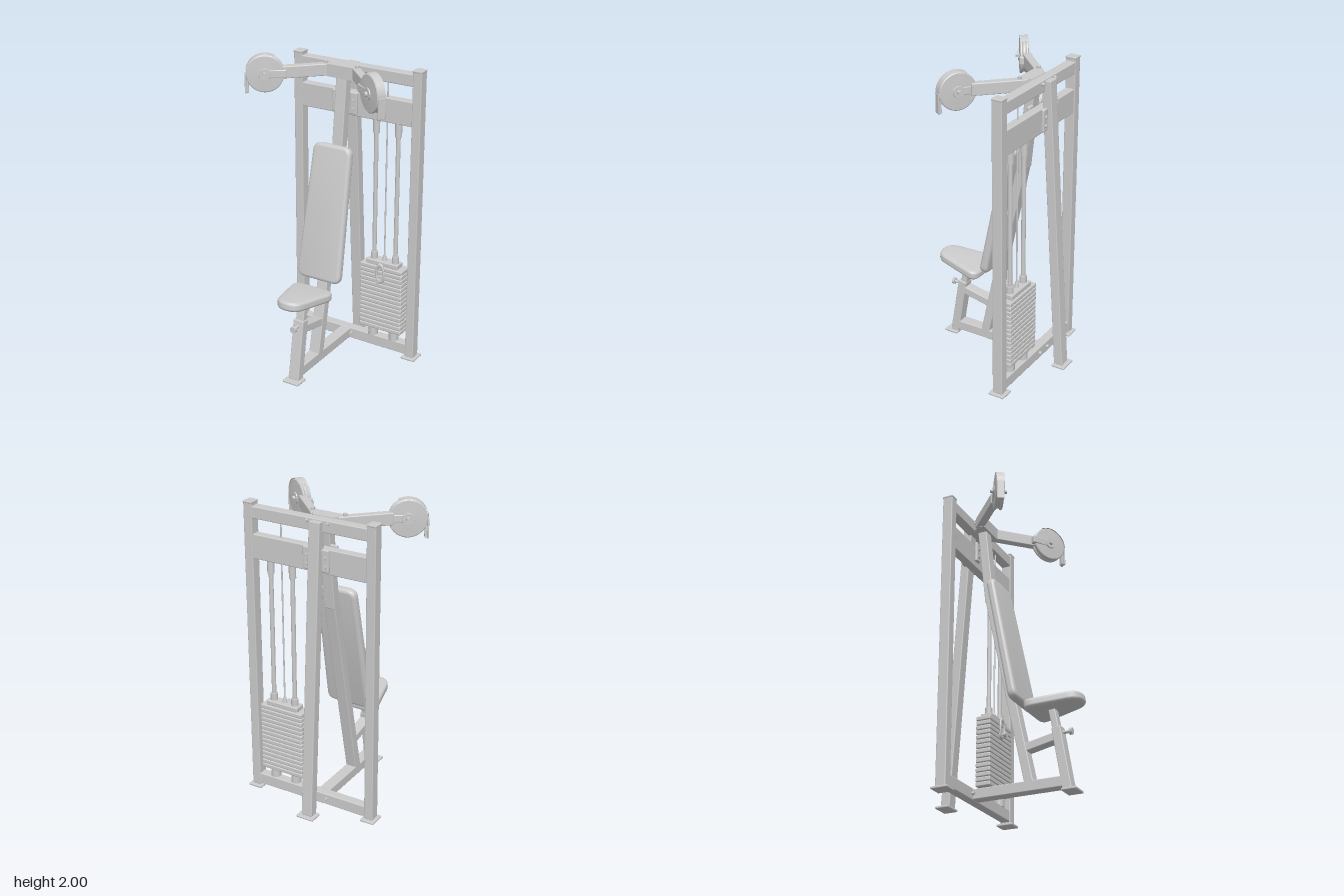
import * as THREE from 'three';
import { RoundedBoxGeometry } from 'three/addons/geometries/RoundedBoxGeometry.js';
import { toCreasedNormals } from 'three/addons/utils/BufferGeometryUtils.js';

const CX = -0.018; // centre line of the seat and spine
const FZ = -0.265; // plane of the main frame

export function createModel() {
  const root = new THREE.Group();
  const mat = new THREE.MeshStandardMaterial({ color: 0xcccccc });
  const sheet = new THREE.MeshStandardMaterial({ color: 0xcccccc, side: THREE.DoubleSide });
  const V = (p) => new THREE.Vector3(...p);

  function add(name, geo, pos = [0, 0, 0], parent = root, material = mat) {
    const m = new THREE.Mesh(geo, material);
    m.name = name;
    m.position.set(...pos);
    parent.add(m);
    return m;
  }
  const box = (name, size, pos, r = 0.006, parent = root) =>
    add(name, new RoundedBoxGeometry(...size, 2, r), pos, parent);

  // Square tube from a to b: w across, h in the upright direction
  function bar(name, a, b, w, h) {
    const p = V(a), q = V(b);
    const m = box(name, [w, h, p.distanceTo(q)], p.clone().add(q).multiplyScalar(0.5).toArray());
    m.lookAt(q);
    return m;
  }
  // Round rod from a to b
  function rod(name, a, b, r, parent = root, r2 = r) {
    const p = V(a), q = V(b), d = q.clone().sub(p);
    const m = add(name, new THREE.CylinderGeometry(r2, r, d.length(), 20),
      p.clone().add(q).multiplyScalar(0.5).toArray(), parent);
    m.quaternion.setFromUnitVectors(new THREE.Vector3(0, 1, 0), d.normalize());
    return m;
  }
  // Polygon with rounded corners
  function roundedShape(points, r) {
    const s = new THREE.Shape(), n = points.length;
    const pts = points.map((p) => new THREE.Vector2(...p));
    pts.forEach((p, i) => {
      const toward = (o) => o.clone().sub(p).setLength(r).add(p);
      const a = toward(pts[(i + n - 1) % n]), b = toward(pts[(i + 1) % n]);
      if (i) s.lineTo(a.x, a.y); else s.moveTo(a.x, a.y);
      s.quadraticCurveTo(p.x, p.y, b.x, b.y);
    });
    s.closePath();
    return s;
  }
  // Upholstered cushion with soft edges
  function pad(name, points, r, thick, bevel, pos, tilt) {
    const geo = new THREE.ExtrudeGeometry(roundedShape(points, r), {
      depth: thick - 2 * bevel, bevelThickness: bevel, bevelSize: bevel,
      bevelOffset: -bevel, bevelSegments: 5, curveSegments: 8,
    });
    geo.translate(0, 0, bevel - thick / 2);
    add(name, toCreasedNormals(geo, 0.7), pos).rotation.x = tilt;
  }

  // Main frame: uprights, feet and cross beams
  for (const x of [-0.372, 0.465]) {
    box('upright', [0.06, 1.925, 0.068], [x, 0.9775, FZ]);
    box('uprightCap', [0.064, 0.012, 0.072], [x, 1.938, FZ], 0.004);
    box('foot', [0.096, 0.015, 0.108], [x, 0.0075, FZ], 0.005);
  }
  box('topBeam', [0.79, 0.075, 0.064], [0.047, 1.88, FZ]);
  box('upperBeam', [0.79, 0.155, 0.056], [0.047, 1.667, FZ]);
  box('bottomBeam', [0.79, 0.075, 0.06], [0.047, 0.063, FZ]);

  // Rear leg, sloping spine, base rail and seat support
  bar('rearLeg', [CX, 1.91, -0.303], [CX, 0.012, -0.425], 0.074, 0.06);
  box('rearFoot', [0.12, 0.015, 0.09], [CX, 0.0075, -0.435], 0.005);
  bar('spineLower', [CX, 0.07, 0.13], [CX, 1.36, -0.145], 0.074, 0.058);
  bar('spineUpper', [CX, 1.32, -0.14], [CX, 1.87, -0.2], 0.074, 0.06);
  bar('baseRail', [CX, 0.063, 0.36], [CX, 0.063, -0.26], 0.074, 0.065);
  bar('seatPost', [CX, 0.012, 0.368], [CX, 0.405, 0.302], 0.074, 0.058);
  bar('seatStem', [CX, 0.36, 0.305], [CX, 0.53, 0.272], 0.056, 0.042);
  bar('seatBrace', [CX, 0.345, 0.3], [CX, 0.3, 0.08], 0.07, 0.052);
  box('frontFoot', [0.115, 0.015, 0.095], [CX, 0.0075, 0.385], 0.005);
  rod('adjustPin', [CX, 0.37, 0.33], [CX, 0.37, 0.385], 0.01);
  rod('adjustKnob', [CX, 0.37, 0.378], [CX, 0.37, 0.396], 0.021);
  for (const y of [0.435, 0.465]) rod('seatStemHole', [CX, y, 0.28], [CX, y, 0.316 - (y - 0.435) * 0.2], 0.005);

  // Cushions
  pad('backrest', [[-0.155, -0.435], [0.155, -0.435], [0.134, 0.435], [-0.134, 0.435]],
    0.055, 0.056, 0.02, [-0.023, 1.01, -0.008], -0.197);
  pad('seat', [[-0.155, -0.173], [0.155, -0.173], [0.075, 0.173], [-0.075, 0.173]],
    0.075, 0.06, 0.02, [-0.02, 0.55, 0.302], Math.PI / 2 - 0.11);

  // Bolted brackets where spine and rear leg meet the frame
  for (const s of [-1, 1]) {
    for (const z of [FZ + 0.05, FZ - 0.046]) {
      const x = CX + s * 0.063;
      box('bracketPlate', [0.05, 0.14, 0.022], [x, 1.68, z], 0.008);
      const out = Math.sign(z - FZ);
      for (const y of [1.645, 1.7]) rod('bracketBolt', [x, y, z], [x, y, z + out * 0.02], 0.011);
    }
    for (const out of [-1, 1]) {
      rod('baseBolt', [CX + s * 0.046, 0.065, FZ], [CX + s * 0.046, 0.065, FZ + out * 0.045], 0.011);
      rod('topBolt', [CX + s * 0.07, 1.9, FZ], [CX + s * 0.07, 1.9, FZ + out * 0.05], 0.01);
    }
  }

  // Head plate joining both arms to the top beam
  const head = new THREE.ExtrudeGeometry(new THREE.Shape(
    [[-0.065, 0.24], [0.065, 0.24], [0.115, 0.18], [0.09, 0.15], [-0.09, 0.15], [-0.115, 0.18]]
      .map((p) => new THREE.Vector2(...p))), { depth: 0.078, bevelEnabled: false });
  head.rotateX(-Math.PI / 2);
  add('headPlate', head, [CX, 1.843, 0]);

  // Pulley profile: hub boss, flanged disc and rim groove
  const pulley = toCreasedNormals(new THREE.LatheGeometry([
    [0, -0.052], [0.012, -0.052], [0.014, -0.036], [0.034, -0.036], [0.036, -0.03], [0.11, -0.026], [0.115, -0.022],
    [0.115, -0.014], [0.106, -0.006], [0.106, 0.006], [0.115, 0.014], [0.115, 0.022], [0.11, 0.026],
    [0.036, 0.03], [0.034, 0.036], [0.014, 0.036], [0.012, 0.052], [0, 0.052],
  ].map((p) => new THREE.Vector2(...p)), 40), 0.5);
  pulley.rotateX(Math.PI / 2);

  // Arms with pulleys, belt guards and hanging belts
  for (const s of [-1, 1]) {
    bar('arm', [CX + s * 0.075, 1.883, -0.2], [CX + s * 0.31, 1.883, 0.035], 0.05, 0.075);
    rod('armBolt', [CX + s * 0.11, 1.9, -0.17], [CX + s * 0.11, 1.935, -0.17], 0.013);
    const g = new THREE.Group();
    g.name = 'pulleyUnit';
    g.position.set(-0.023 + s * 0.372, 1.88, 0.093);
    g.rotation.y = -s * 0.58;
    root.add(g);
    add('pulley', pulley, [0, 0, 0], g);
    const span = Math.PI / 2 + 0.5;
    const guard = new THREE.CylinderGeometry(0.12, 0.12, 0.05, 24, 1, true,
      s > 0 ? Math.PI / 2 : -Math.PI / 2 - span, span);
    guard.rotateX(Math.PI / 2);
    add('beltGuard', guard, [0, 0, 0], g, sheet);
    box('belt', [0.01, 0.125, 0.046], [s * 0.118, -0.06, 0], 0.003, g);
    box('beltEnd', [0.016, 0.07, 0.03], [s * 0.107, -0.085, 0], 0.003, g);
    box('pulleyFork', [0.11, 0.05, 0.064], [-s * 0.075, 0, 0], 0.006, g);
  }

  // Weight stack
  const SX = 0.257, N = 15, step = 0.46 / N;
  for (let i = 0; i < N; i++) {
    const y = 0.165 + step * (i + 0.5);
    box('weightPlate', [0.304, step - 0.002, 0.1], [SX, y, -0.258], 0.007);
    rod('plateHole', [SX, y, -0.23], [SX, y, -0.205], 0.006);
  }
  box('stackCore', [0.285, 0.455, 0.088], [SX, 0.395, -0.258]);
  box('stackHead', [0.225, 0.032, 0.075], [SX, 0.638, -0.258]);

  // Guide rods with collars and rubber stops
  for (const x of [0.182, 0.336]) {
    rod('guideRod', [x, 0.08, -0.258], [x, 1.62, -0.258], 0.014);
    rod('lowerCollar', [x, 0.65, -0.258], [x, 0.7, -0.258], 0.023);
    rod('upperCollar', [x, 1.505, -0.258], [x, 1.6, -0.258], 0.022);
    rod('rubberStop', [x, 0.095, -0.258], [x, 0.17, -0.258], 0.032);
  }

  // Cable, its anchor, snap hook and selector pin
  rod('cable', [SX, 0.64, -0.258], [SX, 1.86, -0.258], 0.005);
  rod('cableAnchor', [SX, 0.65, -0.258], [SX, 0.69, -0.258], 0.016, root, 0.009);
  const hook = new THREE.TorusGeometry(0.027, 0.007, 10, 28);
  hook.scale(1, 2.2, 1);
  hook.computeVertexNormals();
  add('snapHook', hook, [SX, 0.58, -0.2]);
  rod('selectorPin', [SX, 0.535, -0.26], [SX, 0.535, -0.175], 0.009);
  rod('selectorCollar', [SX, 0.535, -0.21], [SX, 0.535, -0.2], 0.028);
  rod('selectorKnob', [SX, 0.535, -0.183], [SX, 0.535, -0.168], 0.017);

  return root;
}
